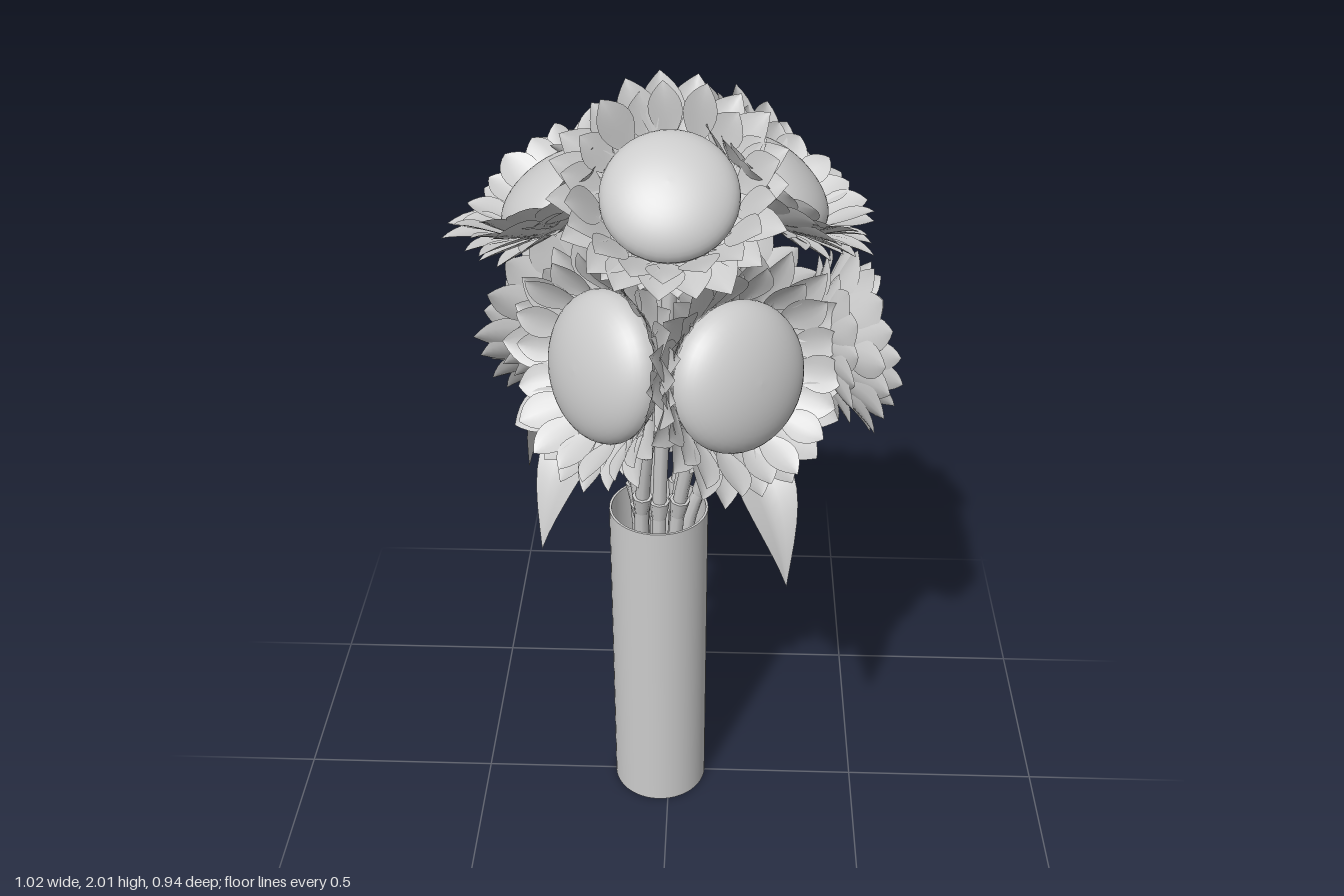
import * as THREE from 'three';
import { mergeGeometries } from 'three/addons/utils/BufferGeometryUtils.js';

const V = (x, y, z) => new THREE.Vector3(x, y, z);
const mat = new THREE.MeshStandardMaterial({ color: 0xcccccc, side: THREE.DoubleSide });
const VASE_X = -0.025, VASE_Z = -0.005;

let seed = 7;
const rand = () => (seed = (seed * 16807) % 2147483647) / 2147483647;
const vary = (amount) => 1 + (rand() - 0.5) * 2 * amount;

function add(group, name, geometry) {
  const mesh = new THREE.Mesh(geometry, mat);
  mesh.name = name;
  group.add(mesh);
  return mesh;
}

// Pointed petal running along +x from r0, rising along +z
function petal(r0, length, width, lift) {
  const g = new THREE.PlaneGeometry(1, 1, 8, 4);
  const p = g.attributes.position;
  for (let i = 0; i < p.count; i++) {
    const t = p.getX(i) + 0.5, s = p.getY(i) * 2;
    const half = width / 2 * (0.35 * (1 - t) + 0.95 * Math.sin(Math.PI * Math.pow(t, 0.9)));
    p.setXYZ(i, r0 + length * t, s * half, lift * Math.sin(t * 1.3) + (s * s - 0.5) * half * 0.3);
  }
  g.computeVertexNormals();
  return g;
}

function petalRing(count, r0, length, width, lift, z0, phase) {
  const parts = [];
  for (let i = 0; i < count; i++) {
    const g = petal(r0, length * vary(0.1), width * vary(0.12), lift * vary(0.25));
    g.rotateX((rand() - 0.5) * 0.2);
    g.rotateZ((i + phase + (rand() - 0.5) * 0.3) / count * Math.PI * 2);
    g.translate(0, 0, z0);
    parts.push(g);
  }
  return mergeGeometries(parts);
}

// Flower head facing +z: domed seed disc, two petal rings, sepals, receptacle
function flowerHead(discR, reach) {
  const head = new THREE.Group();
  const dome = [];
  for (let i = 0; i <= 12; i++) {
    const a = i / 12 * Math.PI / 2;
    dome.push(new THREE.Vector2(discR * Math.cos(a), discR * 0.5 * Math.sin(a)));
  }
  add(head, 'seedDisc', new THREE.LatheGeometry(dome, 40).rotateX(Math.PI / 2));

  const back = [[discR, 0], [discR * 0.97, -0.02], [discR * 0.7, -0.045], [discR * 0.3, -0.065], [0.02, -0.09]];
  add(head, 'receptacle', new THREE.LatheGeometry(back.map(q => new THREE.Vector2(...q)), 24).rotateX(Math.PI / 2));

  const r0 = discR * 0.92, len = reach - r0;
  add(head, 'outerPetals', petalRing(19, r0, len, 0.08, 0.075, -0.02, 0));
  add(head, 'innerPetals', petalRing(18, discR * 0.97, len * 0.65, 0.07, 0.09, -0.015, 0.5));
  add(head, 'sepals', petalRing(16, discR * 0.7, len * 0.95, 0.075, 0.035, -0.045, 0.3));
  return head;
}

// Curved stem with swollen joints
function stem(curve) {
  const g = new THREE.Group();
  add(g, 'stalk', new THREE.TubeGeometry(curve, 28, 0.017, 8));
  for (const t of [0.5, 0.64, 0.78]) {
    const joint = add(g, 'stemJoint', new THREE.CylinderGeometry(0.025, 0.018, 0.05, 8));
    joint.position.copy(curve.getPointAt(t));
    joint.quaternion.setFromUnitVectors(V(0, 1, 0), curve.getTangentAt(t));
  }
  return g;
}

// Arching leaf from root to a drooping tip
function leaf(root, tip, width) {
  const out = V(tip.x - root.x, 0, tip.z - root.z);
  const side = V(-out.z, 0, out.x).normalize();
  const knee = root.clone().addScaledVector(out, 0.8).add(V(0, 0.07, 0));
  const curve = new THREE.QuadraticBezierCurve3(root, knee, tip);
  const g = new THREE.PlaneGeometry(1, 1, 14, 6);
  const p = g.attributes.position;
  for (let i = 0; i < p.count; i++) {
    const t = p.getX(i) + 0.5, s = p.getY(i) * 2;
    const half = 0.008 * (1 - t) + width / 2 * Math.pow(Math.sin(Math.PI * Math.pow(t, 1.15)), 1.1);
    const q = curve.getPoint(t).addScaledVector(side, s * half);
    p.setXYZ(i, q.x, q.y + Math.abs(s) * half * 0.45, q.z);
  }
  g.computeVertexNormals();
  return g;
}

export function createModel() {
  const model = new THREE.Group();
  model.name = 'flowerVase';

  // Open straight vase with a thin wall
  const wall = (r, h, y, open) => new THREE.CylinderGeometry(r, r, h, 48, 1, open).translate(VASE_X, y + h / 2, VASE_Z);
  const vase = new THREE.Group();
  vase.name = 'vase';
  add(vase, 'outerWall', wall(0.123, 0.89, 0, true));
  add(vase, 'innerWall', wall(0.117, 0.87, 0.02, true));
  add(vase, 'base', wall(0.123, 0.02, 0, false));
  add(vase, 'rim', new THREE.RingGeometry(0.117, 0.123, 48).rotateX(-Math.PI / 2).translate(VASE_X, 0.89, VASE_Z));
  model.add(vase);

  // Heads: centre, facing direction, disc radius, petal reach
  const heads = [
    ['topFrontFlower', V(0.01, 1.795, 0.175), V(0, 0.74, 0.67), 0.147, 0.255],
    ['topBackFlower', V(-0.03, 1.66, -0.22), V(-0.03, 0.78, -0.62), 0.147, 0.258],
    ['topLeftFlower', V(0.233, 1.74, -0.02), V(0.62, 0.78, 0), 0.142, 0.255],
    ['topRightFlower', V(-0.246, 1.715, -0.015), V(-0.54, 0.84, 0), 0.14, 0.255],
    ['frontLeftFlower', V(0.16, 1.4, 0.23), V(0.58, 0.25, 0.76), 0.17, 0.28],
    ['frontRightFlower', V(-0.13, 1.42, 0.23), V(-0.73, 0.24, 0.64), 0.17, 0.28],
    ['backLeftFlower', V(0.14, 1.34, -0.225), V(0.59, 0.3, -0.75), 0.17, 0.285],
    ['backRightFlower', V(-0.215, 1.335, -0.205), V(-0.67, 0.28, -0.69), 0.17, 0.28],
    ['sideFlower', V(0.385, 1.39, 0.035), V(0.95, 0.05, -0.25), 0.12, 0.22],
  ];
  heads.forEach(([name, c, n, discR, reach], i) => {
    n.normalize();
    const flower = new THREE.Group();
    flower.name = name;
    const head = flowerHead(discR, reach);
    head.name = 'flowerHead';
    head.position.copy(c);
    head.lookAt(c.clone().add(n));
    flower.add(head);

    // Stem rises through the vase mouth and bends into the back of the head
    const a = Math.atan2(c.z, c.x), r = i < 4 ? 0.045 : 0.08;
    const at = (k, y) => V(VASE_X + Math.cos(a) * k, y, VASE_Z + Math.sin(a) * k);
    const neck = c.clone().addScaledVector(n, -0.13).add(V(0, -0.03, 0));
    const bend = at(r, 0.9).lerp(neck, 0.55).add(V(0, -0.02, 0));
    const stalk = stem(new THREE.CatmullRomCurve3(
      [at(r * 0.6, 0.05), at(r, 0.88), bend, neck, c.clone().addScaledVector(n, -0.05)]));
    stalk.name = 'stem';
    flower.add(stalk);
    model.add(flower);
  });

  // Drooping leaves
  [
    [V(-0.09, 1.17, -0.06), V(-0.37, 0.87, -0.2)],
    [V(-0.08, 1.2, 0.07), V(-0.28, 0.97, 0.29)],
    [V(0.1, 1.17, 0.09), V(0.28, 0.93, 0.36)],
    [V(0.07, 1.17, -0.08), V(0.22, 0.91, -0.34)],
  ].forEach(([root, tip]) => add(model, 'leaf', leaf(root, tip, 0.14)));

  return model;
}
